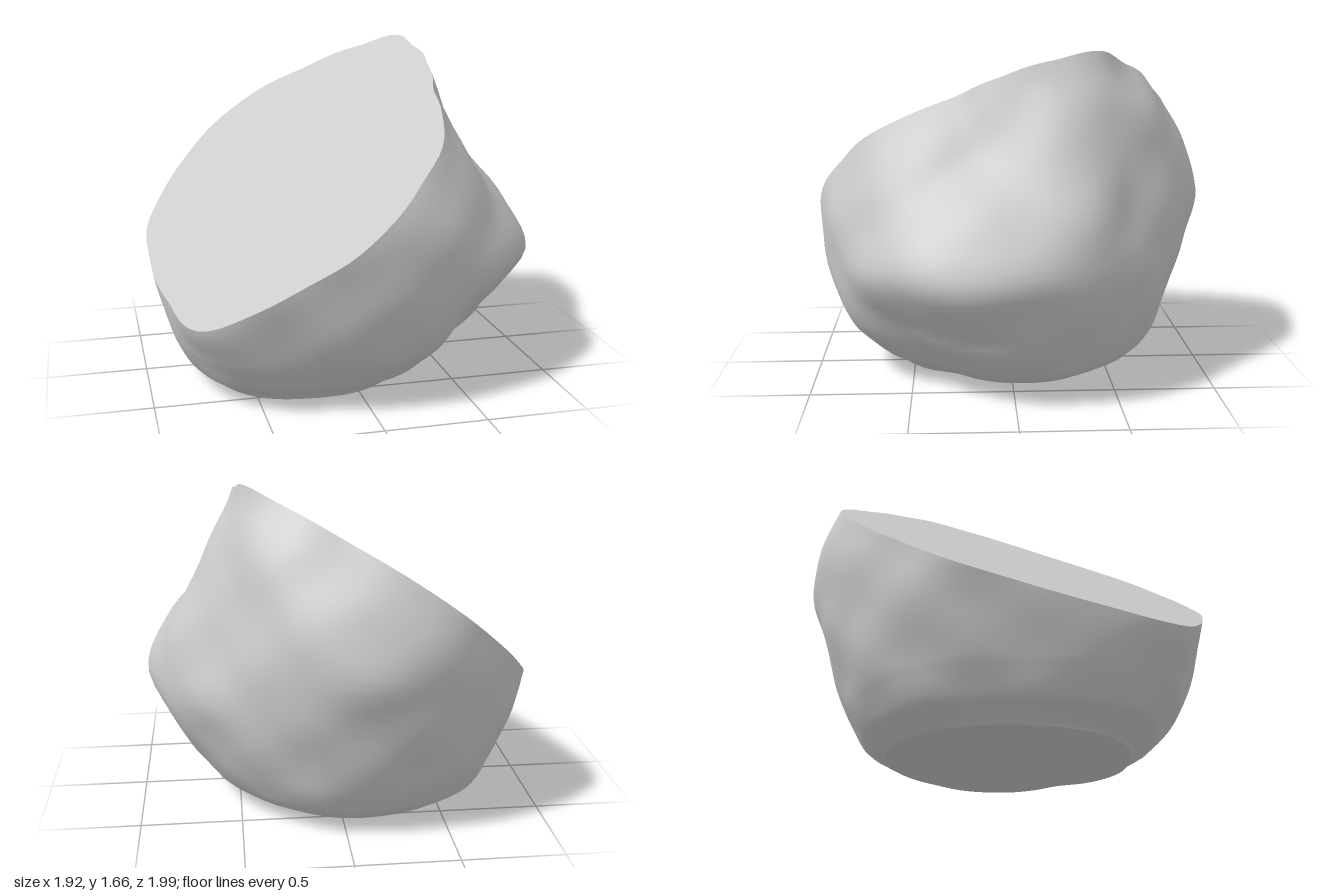
import * as THREE from 'three';

// Heights of the horizontal sections through the boulder
const LEVELS = [0, 0.1, 0.25, 0.45, 0.65, 0.9, 1.15, 1.4, 1.64];
// Radii per level, one row every 22.5 degrees, turning from +x towards +z
const RADII = [
  [0.43, 0.60, 0.75, 0.87, 0.96, 0.86, 0.68, 0.56, 0.47],
  [0.40, 0.56, 0.72, 0.88, 1.00, 0.87, 0.66, 0.54, 0.48],
  [0.38, 0.54, 0.70, 0.86, 0.96, 0.88, 0.76, 0.60, 0.50],
  [0.46, 0.63, 0.80, 0.90, 0.94, 0.93, 0.84, 0.72, 0.60],
  [0.55, 0.69, 0.83, 0.92, 0.96, 0.98, 0.88, 0.75, 0.65],
  [0.62, 0.75, 0.87, 0.95, 1.01, 1.03, 0.96, 0.85, 0.75],
  [0.70, 0.85, 0.97, 1.08, 1.10, 1.10, 1.00, 0.90, 0.80],
  [0.71, 0.83, 0.91, 0.98, 1.00, 1.00, 1.00, 0.90, 0.80],
  [0.69, 0.80, 0.87, 0.92, 0.97, 1.00, 1.00, 0.90, 0.80],
  [0.67, 0.79, 0.87, 0.95, 1.00, 1.02, 1.00, 0.90, 0.80],
  [0.63, 0.77, 0.86, 0.93, 0.97, 1.00, 0.99, 0.90, 0.80],
  [0.59, 0.72, 0.82, 0.90, 0.96, 1.01, 0.97, 0.88, 0.78],
  [0.55, 0.70, 0.79, 0.86, 0.92, 0.98, 0.92, 0.77, 0.64],
  [0.50, 0.65, 0.75, 0.82, 0.87, 0.89, 0.85, 0.76, 0.60],
  [0.46, 0.62, 0.72, 0.81, 0.86, 0.82, 0.76, 0.71, 0.61],
  [0.45, 0.62, 0.74, 0.85, 0.92, 0.88, 0.77, 0.65, 0.53],
];
const SEGMENTS = 112, ROWS = 32;

// Height of the slanted, sawn face, and of the slightly tilted foot
const cutHeight = (x, z) => 1.23 + 0.69 * x - 0.31 * z;
const footHeight = (angle) => 0.02 + 0.02 * Math.cos(angle + Math.PI / 4);

// Smooth blend through four neighbouring values
function blend(a, b, c, d, t) {
  return b + 0.5 * t * (c - a + t * (2 * a - 5 * b + 4 * c - d + t * (3 * (b - c) + d - a)));
}

function radiusAt(angle, y) {
  const n = RADII.length;
  const u = (angle / (2 * Math.PI)) * n;
  const i = Math.floor(u);
  let k = 0;
  while (k < LEVELS.length - 2 && y > LEVELS[k + 1]) k++;
  const t = Math.min(1, (y - LEVELS[k]) / (LEVELS[k + 1] - LEVELS[k]));
  const column = (j) => {
    const row = RADII[(j + n) % n];
    return blend(row[Math.max(0, k - 1)], row[k], row[k + 1], row[Math.min(row.length - 1, k + 2)], t);
  };
  const r = blend(column(i - 1), column(i), column(i + 1), column(i + 2), u - i);
  // Worn lumps, and a groove low on the +x side
  const lumps = 0.007 * Math.sin(7 * angle + 5 * y) * Math.sin(9 * y + 2 * angle)
    + 0.004 * Math.sin(11 * angle - 14 * y);
  const side = Math.atan2(Math.sin(angle - 0.4), Math.cos(angle - 0.4));
  const groove = 0.02 * Math.exp(-((side / 0.5) ** 2) - (((y - 0.36 - 0.1 * side) / 0.05) ** 2));
  return r + lumps * Math.min(1, y * 6) - groove;
}

function pointAt(angle, y) {
  const r = radiusAt(angle, y);
  return new THREE.Vector3(r * Math.cos(angle), y, r * Math.sin(angle));
}

// Height at which one side of the boulder meets the sawn face
function rimHeight(angle) {
  let low = 0, high = 1.8;
  for (let i = 0; i < 30; i++) {
    const mid = (low + high) / 2;
    const p = pointAt(angle, mid);
    if (p.y < cutHeight(p.x, p.z)) low = mid;
    else high = mid;
  }
  return low;
}

function makeGeometry(points, index) {
  const geometry = new THREE.BufferGeometry().setFromPoints(points);
  geometry.setIndex(index);
  geometry.computeVertexNormals();
  return geometry;
}

// Face closing a ring of points
function fan(ring, centre, up) {
  const index = [];
  const n = ring.length;
  for (let i = 0; i < n; i++) {
    const j = (i + 1) % n;
    index.push(n, up ? j : i, up ? i : j);
  }
  return makeGeometry([...ring, centre], index);
}

export function createModel() {
  const group = new THREE.Group();
  group.name = 'cutBoulder';
  const material = new THREE.MeshStandardMaterial({ color: 0xcccccc, roughness: 0.9 });
  const add = (name, geometry) => {
    const mesh = new THREE.Mesh(geometry, material);
    mesh.name = name;
    group.add(mesh);
  };

  // Rounded side, each column running from the foot up to the cut
  const points = [], index = [];
  const angles = Array.from({ length: SEGMENTS }, (_, i) => (i / SEGMENTS) * 2 * Math.PI);
  const rims = angles.map(rimHeight);
  for (let row = 0; row <= ROWS; row++) {
    const t = (row / ROWS) ** 1.25;
    angles.forEach((angle, i) => {
      points.push(pointAt(angle, THREE.MathUtils.lerp(footHeight(angle), rims[i], t)));
    });
  }
  for (let row = 0; row < ROWS; row++) {
    for (let i = 0; i < SEGMENTS; i++) {
      const a = row * SEGMENTS + i;
      const b = row * SEGMENTS + (i + 1) % SEGMENTS;
      index.push(a, a + SEGMENTS, b, b, a + SEGMENTS, b + SEGMENTS);
    }
  }
  add('stoneBody', makeGeometry(points, index));

  // Sawn top face and nearly flat underside
  const cx = -0.2, cz = 0;
  add('cutFace', fan(points.slice(-SEGMENTS), new THREE.Vector3(cx, cutHeight(cx, cz), cz), true));
  add('underside', fan(points.slice(0, SEGMENTS), new THREE.Vector3(-0.1, 0.005, 0.05), false));
  return group;
}
